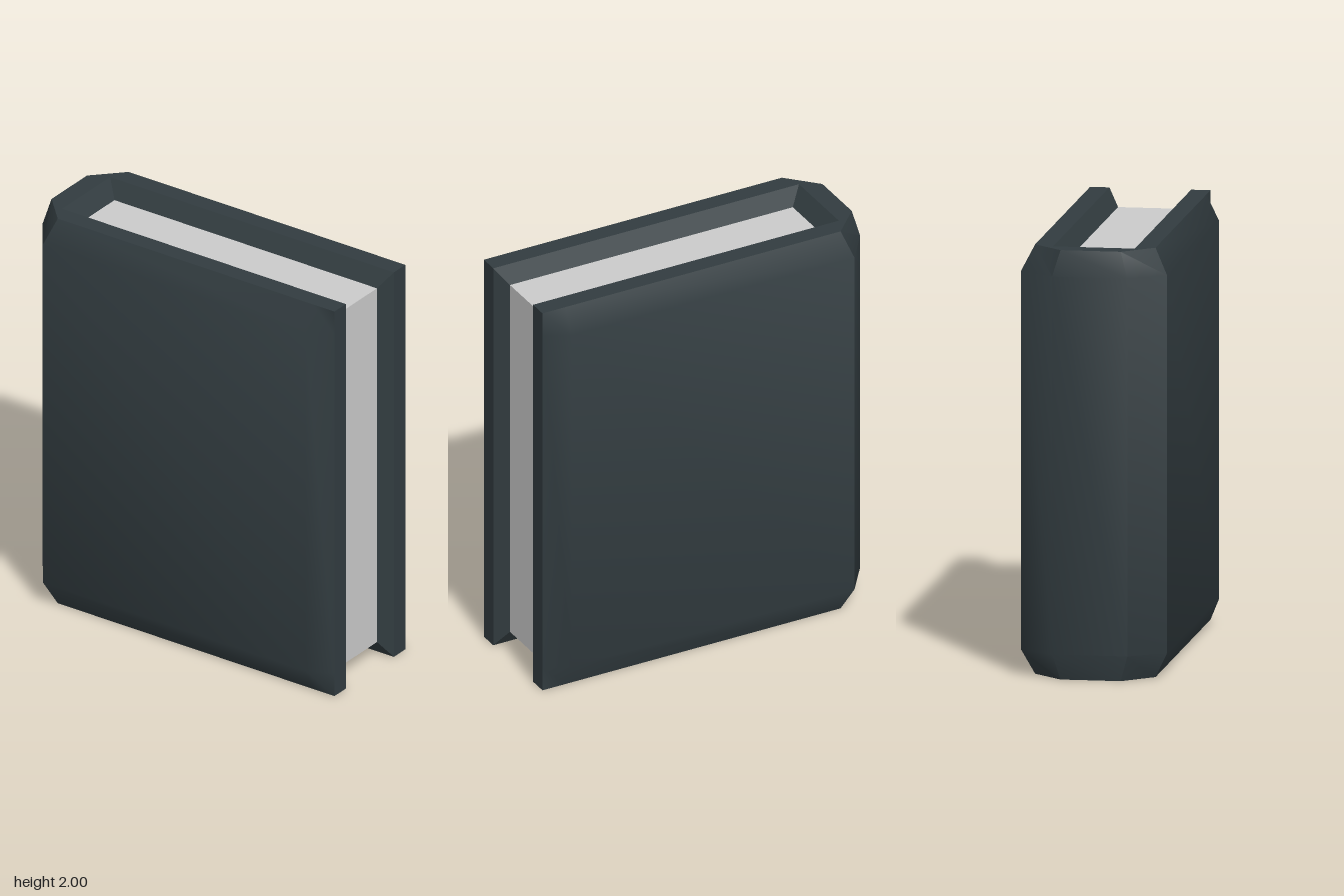
import * as THREE from 'three';
import { toCreasedNormals } from 'three/addons/utils/BufferGeometryUtils.js';

// Stations along the U-shaped cover, from the front fore-edge to the spine.
// Each lists [x, z] of: the inner chamfer's foot, the inner rim, the outer rim, the widest outer line.
const HALF = [
  [[0.80, 0.14], [0.86, 0.19], [0.86, 0.28], [0.86, 0.28]],
  [[0.74, 0.14], [0.74, 0.19], [0.74, 0.28], [0.74, 0.34]],
  [[-0.68, 0.14], [-0.74, 0.19], [-0.70, 0.28], [-0.74, 0.34]],
  [[-0.68, 0.14], [-0.74, 0.19], [-0.835, 0.14], [-0.86, 0.175]],
];
const HEIGHTS = [0.08, 0, 0, 0.12];

function coverGeometry() {
  const mirrored = HALF.map((s) => s.map(([x, z]) => [x, -z])).reverse();
  // Full profile at each station: bottom inside, around the outside, to top inside
  const rings = [...HALF, ...mirrored].map((s) => {
    const low = s.map(([x, z], i) => new THREE.Vector3(x, HEIGHTS[i], z));
    const high = s.map(([x, z], i) => new THREE.Vector3(x, 2 - HEIGHTS[i], z)).reverse();
    return [...low, ...high];
  });

  const pos = [];
  const tri = (a, b, c) => {
    const area = b.clone().sub(a).cross(c.clone().sub(a)).length();
    if (area > 1e-6) for (const p of [a, b, c]) pos.push(p.x, p.y, p.z);
  };
  const quad = (a, b, c, d) => { tri(a, b, c); tri(a, c, d); };

  // Skin between neighbouring stations
  for (let i = 0; i < rings.length - 1; i++) {
    for (let j = 0; j < 7; j++) {
      quad(rings[i][j], rings[i][j + 1], rings[i + 1][j + 1], rings[i + 1][j]);
    }
  }

  // Fore-edge ends: flat edge and the chamfer leading in to the pages
  const first = rings[0];
  const last = rings[rings.length - 1];
  for (const k of [0, 1]) {
    quad(first[k], first[7 - k], first[6 - k], first[k + 1]);
    quad(last[k + 1], last[6 - k], last[7 - k], last[k]);
  }

  const geometry = new THREE.BufferGeometry();
  geometry.setAttribute('position', new THREE.Float32BufferAttribute(pos, 3));
  return toCreasedNormals(geometry, 0.7);
}

export function createModel() {
  const book = new THREE.Group();
  book.name = 'book';

  // Bevelled cover with spine
  const cover = new THREE.Mesh(
    coverGeometry(),
    new THREE.MeshStandardMaterial({ color: 0x323c40 })
  );
  cover.name = 'cover';

  // Page block
  const pages = new THREE.Mesh(
    new THREE.BoxGeometry(1.48, 1.84, 0.28),
    new THREE.MeshStandardMaterial({ color: 0xcccccc })
  );
  pages.name = 'pages';
  pages.position.set(0.06, 1, 0);

  book.add(cover, pages);
  return book;
}
